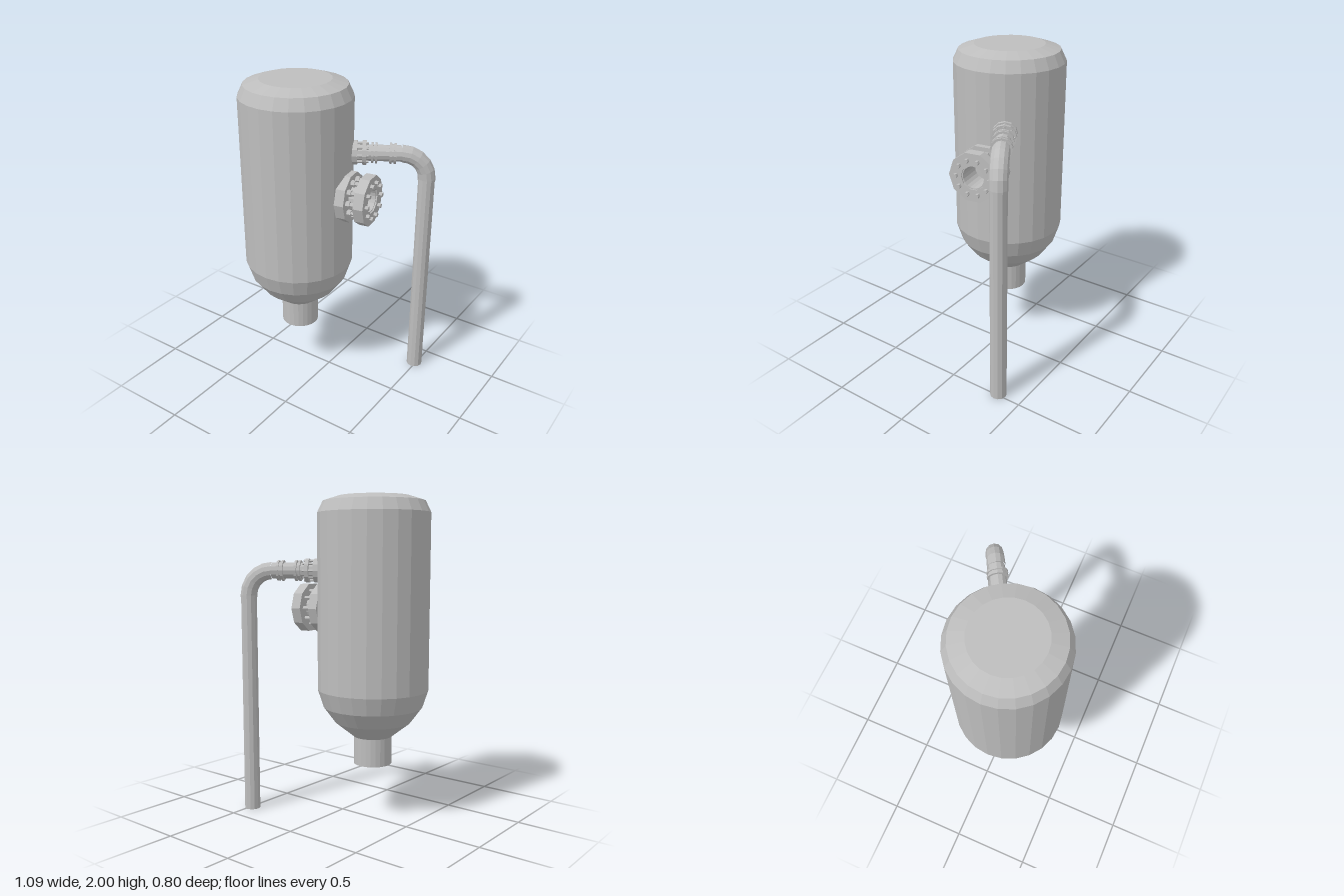
import * as THREE from 'three';

export function createModel() {
  const steel = new THREE.MeshStandardMaterial({ color: 0xbdbdbd, flatShading: true });
  steel.name = 'grey steel';
  const root = new THREE.Group();
  root.name = 'pressureVessel';

  const add = (parent, name, geometry, x = 0, y = 0, z = 0) => {
    const mesh = new THREE.Mesh(geometry, steel);
    mesh.name = name;
    mesh.position.set(x, y, z);
    parent.add(mesh);
    return mesh;
  };
  const lathe = (points, sides) =>
    new THREE.LatheGeometry(points.map(([r, y]) => new THREE.Vector2(r, y)), sides);
  // solid or hollow disc lying along +x between a and b
  const disc = (r, a, b, sides, hole = 0) =>
    lathe([[hole, a], [r, a], [r, b], [hole, b], [hole, a]], sides).rotateZ(-Math.PI / 2);
  // circle of bolts around the x axis
  const bolts = (parent, name, count, ring, r, a, b, y) => {
    for (let i = 0; i < count; i++) {
      const t = (i / count) * Math.PI * 2;
      add(parent, name, disc(r, a, b, 6), 0, y + Math.sin(t) * ring, Math.cos(t) * ring);
    }
  };

  // Vessel with domed ends and bottom outlet
  const vessel = new THREE.Group();
  vessel.name = 'vessel';
  vessel.position.set(-0.2, 0, 0.055);
  root.add(vessel);
  add(vessel, 'tank', lathe([
    [0, 0.5], [0.12, 0.515], [0.24, 0.61], [0.31, 0.705], [0.346, 0.815],
    [0.346, 1.9], [0.312, 1.97], [0.217, 2], [0, 2],
  ], 24));
  add(vessel, 'bottomOutlet', new THREE.CylinderGeometry(0.12, 0.12, 0.19, 24), 0, 0.435);

  // Flanged inspection nozzle on the side
  const nozzle = new THREE.Group();
  nozzle.name = 'inspectionNozzle';
  nozzle.rotation.y = THREE.MathUtils.degToRad(9.2);
  vessel.add(nozzle);
  const ny = 1.312;
  add(nozzle, 'nozzleNeck', disc(0.082, 0.3, 0.495, 20, 0.069), 0, ny);
  add(nozzle, 'innerFlange', disc(0.158, 0.32, 0.38, 10, 0.075), 0, ny);
  add(nozzle, 'outerFlange', disc(0.158, 0.44, 0.503, 10, 0.078), 0, ny);
  bolts(nozzle, 'nozzleBolt', 10, 0.11, 0.014, 0.37, 0.525, ny);
  bolts(nozzle, 'nozzleNut', 10, 0.11, 0.021, 0.38, 0.405, ny);

  // Overflow pipe: flanged stub, elbow and long downpipe
  const pipe = new THREE.Group();
  pipe.name = 'overflowPipe';
  pipe.rotation.y = Math.PI / 6;
  vessel.add(pipe);
  const py = 1.55, reach = 0.793, bend = 0.155;
  add(pipe, 'horizontalPipe', disc(0.05, 0.3, reach - bend, 12), 0, py);
  add(pipe, 'pipeInnerFlange', disc(0.075, 0.335, 0.368, 12), 0, py);
  add(pipe, 'pipeOuterFlange', disc(0.075, 0.398, 0.423, 12), 0, py);
  bolts(pipe, 'pipeBolt', 8, 0.06, 0.008, 0.36, 0.436, py);
  for (const d of [0.458, 0.482, 0.568, 0.595]) {
    add(pipe, 'pipeCollar', disc(0.064, d - 0.007, d + 0.007, 12), 0, py);
  }
  add(pipe, 'collarSleeve', disc(0.056, 0.565, 0.598, 12), 0, py);
  add(pipe, 'elbow', new THREE.TorusGeometry(bend, 0.054, 12, 5, Math.PI / 2), reach - bend, py - bend);
  add(pipe, 'elbowSocket', new THREE.CylinderGeometry(0.054, 0.054, 0.012, 12), reach, py - bend - 0.006);
  add(pipe, 'downpipe', new THREE.CylinderGeometry(0.051, 0.051, py - bend, 12), reach, (py - bend) / 2);

  return root;
}
